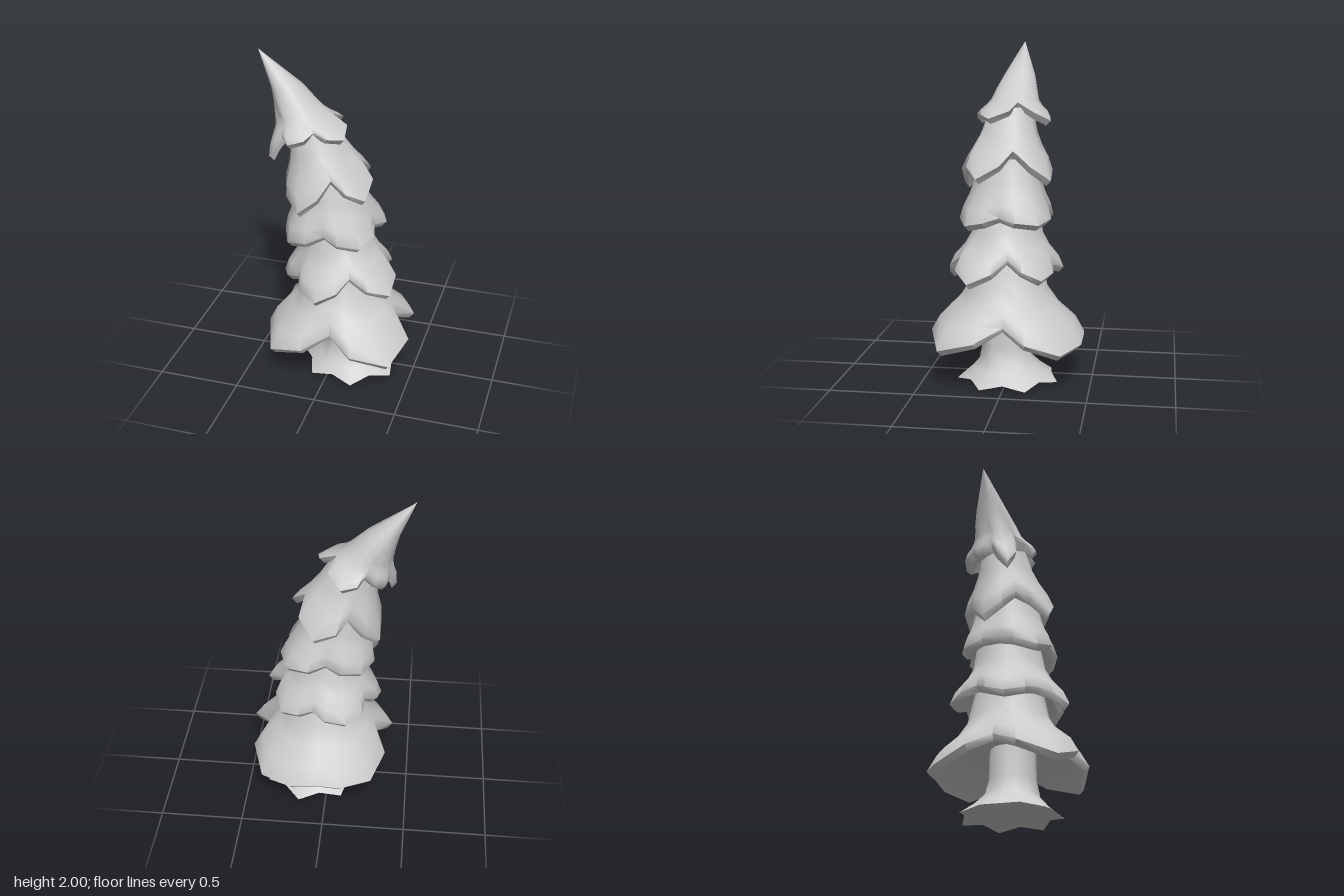
import * as THREE from 'three';
import { toCreasedNormals } from 'three/addons/utils/BufferGeometryUtils.js';

const lerp = THREE.MathUtils.lerp;
const material = new THREE.MeshStandardMaterial({ color: 0xcccccc });

// Skin a list of closed rings (arrays of [x, y, z]) running from top to bottom.
function loft(name, rings, crease = 1.1) {
  const n = rings[0].length, index = [];
  for (let i = 0; i < rings.length - 1; i++) {
    for (let j = 0; j < n; j++) {
      const a = i * n + j, b = i * n + (j + 1) % n;
      index.push(a, b, a + n, b, b + n, a + n);
    }
  }
  const geo = new THREE.BufferGeometry();
  geo.setAttribute('position', new THREE.Float32BufferAttribute(rings.flat(2), 3));
  geo.setIndex(index);
  const mesh = new THREE.Mesh(toCreasedNormals(geo, crease), material);
  mesh.name = name;
  return mesh;
}

const polar = (x, z, a, r, y) => [x + r * Math.cos(a), y, z + r * Math.sin(a)];
const evenly = (count, start) => Array.from({ length: count }, (_, i) => start + (i * 360) / count);

// Rim of a tier: each lobe is [radius, height, notch radius, notch height],
// the notch lying halfway to the next lobe.
function rimPoints(angles, lobes) {
  const points = [];
  lobes.forEach(([r, y, nr, ny], i) => {
    const k = (i + 1) % lobes.length;
    const [nextR, nextY] = lobes[k];
    const end = angles[k] + (k === 0 ? 360 : 0);
    const add = (t, rad, h) => points.push({ a: THREE.MathUtils.degToRad(lerp(angles[i], end, t)), r: rad, y: h });
    add(0, r, y);
    add(0.29, lerp(r, nr, 0.3), lerp(y, ny, 0.5));
    add(0.5, nr, ny);
    add(0.71, lerp(nextR, nr, 0.3), lerp(nextY, ny, 0.5));
  });
  return points;
}

// One drooping skirt of foliage with a thick lip and a hollow underside.
// soft blends the profile from a sudden flare (0) to a plain cone (1).
function tier(name, soft, top, [cx, cz], angles, lobes) {
  const rim = rimPoints(angles, lobes);
  const rings = top.map(([x, y, z, r]) => rim.map((p) => polar(x, z, p.a, r, y)));
  const [tx, ty, tz, tr] = top[top.length - 1];
  for (const [s, flare] of [[0.4, 0.13], [0.6, 0.38], [0.8, 0.8], [1, 1]]) {
    const f = lerp(flare, s, soft);
    rings.push(rim.map((p) => polar(lerp(tx, cx, s), lerp(tz, cz, s), p.a, lerp(tr, p.r, f), lerp(ty, p.y, s))));
  }
  const inner = Math.max(...lobes.map((l) => l[3]));
  rings.push(rim.map((p) => polar(cx, cz, p.a, p.r - 0.03, p.y - 0.032)));
  rings.push(rim.map((p) => polar(cx, cz, p.a, p.r * 0.75, lerp(p.y, inner, 0.45))));
  rings.push(rim.map((p) => polar(cx, cz, p.a, 0.09, inner + 0.02)));
  return loft(name, rings);
}

// Trunk: a straight column spreading into pointed roots, slightly hollow beneath.
function trunk() {
  const sides = 14, cx = 0.1, cz = 0.02;
  const profile = [[0.5, 0.135, 0], [0.22, 0.14, 0], [0.13, 0.155, 0.01], [0.07, 0.21, 0.015],
    [0.012, 0.285, 0.025], [0.03, 0.16, 0], [0.035, 0.001, 0]];
  const rings = profile.map(([y, r, roots]) => Array.from({ length: sides }, (_, j) => {
    const out = j % 2 ? 1 : -1;
    return polar(cx, cz * Math.min(1, y * 4), (j / sides) * Math.PI * 2, r + out * roots, y - out * roots * 0.48);
  }));
  return loft('trunk', rings);
}

export function createModel() {
  const group = new THREE.Group();
  group.name = 'leaningFirTree';
  group.add(trunk());

  // Foliage from the ground up, each tier shifted further along the lean.
  group.add(tier('bottomFoliage', 0.1, [[0.02, 0.74, 0.02, 0.2]], [0.05, 0], evenly(4, 45),
    [[0.53, 0.24, 0.35, 0.38], [0.52, 0.22, 0.35, 0.37], [0.47, 0.23, 0.45, 0.27], [0.48, 0.23, 0.33, 0.38]]));

  group.add(tier('lowerFoliage', 0.1, [[0, 1.02, 0.02, 0.19]], [0.03, 0.02], evenly(5, 28),
    [[0.4, 0.63, 0.29, 0.75], [0.37, 0.61, 0.29, 0.68], [0.35, 0.62, 0.29, 0.7],
      [0.36, 0.64, 0.29, 0.7], [0.34, 0.64, 0.26, 0.76]]));

  group.add(tier('middleFoliage', 0.4, [[-0.05, 1.33, 0.02, 0.18]], [0, 0.03], evenly(4, 47),
    [[0.3, 0.94, 0.24, 1], [0.32, 0.92, 0.26, 0.98], [0.31, 0.95, 0.24, 1], [0.33, 0.96, 0.24, 1]]));

  group.add(tier('upperFoliage', 0.5, [[-0.15, 1.62, 0.02, 0.13]], [-0.04, 0.03], [30, 112, 200, 293],
    [[0.3, 1.22, 0.22, 1.35], [0.3, 1.15, 0.23, 1.27], [0.28, 1.11, 0.21, 1.3], [0.3, 1.2, 0.19, 1.38]]));

  // Pointed crown bending over to one side.
  group.add(tier('treeTop', 0.3,
    [[-0.475, 2, -0.02, 0.001], [-0.3, 1.8, -0.01, 0.095], [-0.25, 1.72, 0, 0.125]],
    [-0.16, 0.02], [24, 106, 158, 215, 288],
    [[0.26, 1.56, 0.16, 1.6], [0.23, 1.54, 0.15, 1.58], [0.24, 1.4, 0.18, 1.54],
      [0.2, 1.5, 0.17, 1.58], [0.26, 1.54, 0.13, 1.65]]));
  return group;
}
